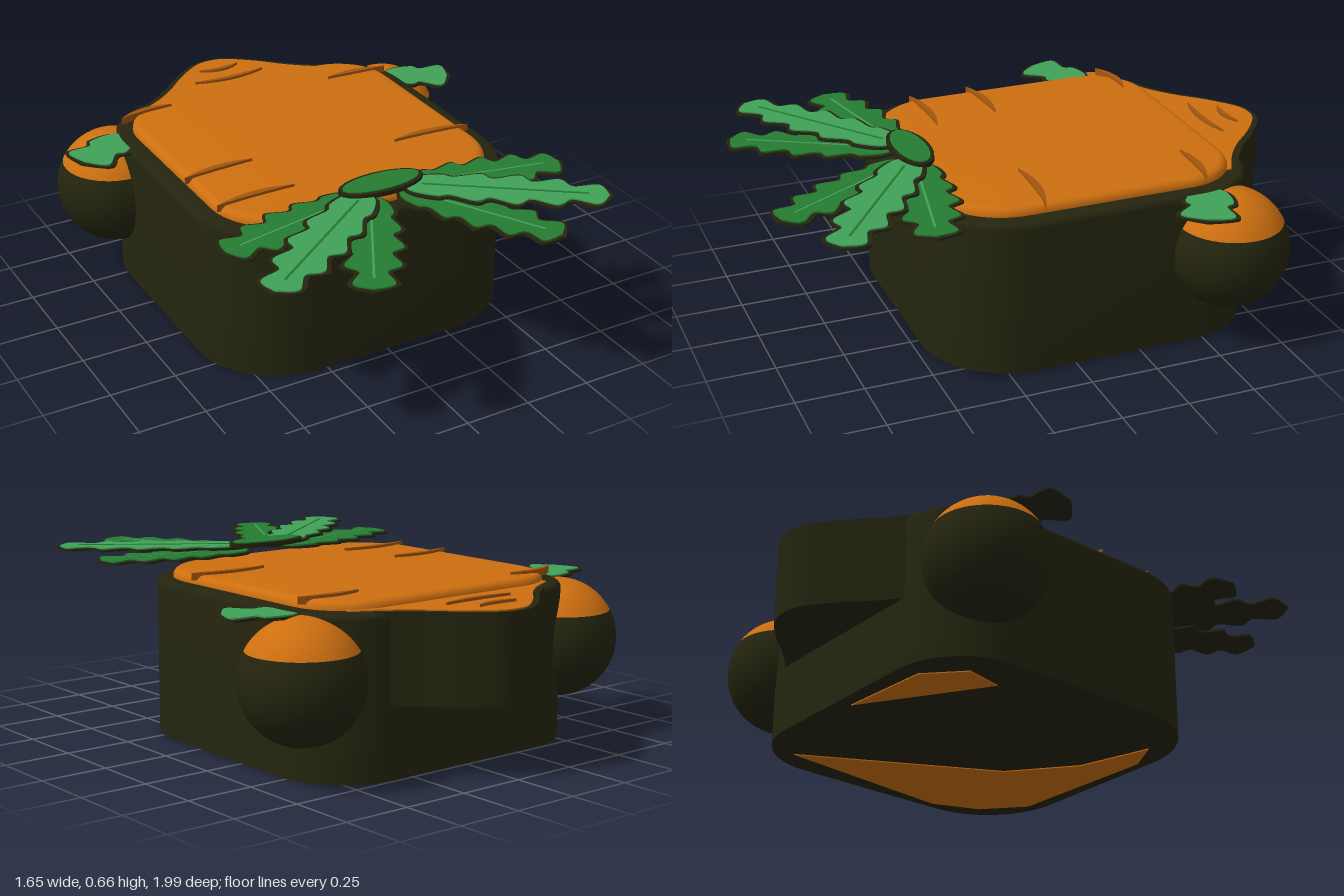
import * as THREE from 'three';
import { toCreasedNormals } from 'three/addons/utils/BufferGeometryUtils.js';

const mat = (name, color, side = THREE.FrontSide) => {
  const m = new THREE.MeshStandardMaterial({ color, side });
  m.name = name;
  return m;
};

const v2 = (p) => new THREE.Vector2(p[0], p[1]);

// Plan outline in (x, z) extruded between two heights, with an optional rounded edge
function slab(shape, y0, y1, bevel = 0) {
  const geo = new THREE.ExtrudeGeometry(shape, {
    depth: y1 - y0 - 2 * bevel, curveSegments: 12, bevelEnabled: bevel > 0,
    bevelThickness: bevel, bevelSize: bevel, bevelOffset: -bevel, bevelSegments: 4,
  });
  geo.rotateX(Math.PI / 2).translate(0, y1 - bevel, 0);
  return geo;
}

function roundedPlan(w, z0, z1, rBack, rFront) {
  const s = new THREE.Shape();
  const k = 0.45; // control handle share of the corner radius
  s.moveTo(-w + rBack, z0).lineTo(w - rBack, z0);
  s.bezierCurveTo(w - rBack * k, z0, w, z0 + rBack * k, w, z0 + rBack);
  s.lineTo(w, z1 - rFront);
  s.bezierCurveTo(w, z1 - rFront * k, w - rFront * k, z1, w - rFront, z1);
  s.lineTo(-w + rFront, z1);
  s.bezierCurveTo(-w + rFront * k, z1, -w, z1 - rFront * k, -w, z1 - rFront);
  s.lineTo(-w, z0 + rBack);
  s.bezierCurveTo(-w, z0 + rBack * k, -w + rBack * k, z0, -w + rBack, z0);
  return s;
}

// Pointed plan at the back, from a half outline that ends on the centre line
function nosePlan(half) {
  const mirrored = half.slice(0, -1).reverse().map(([x, z]) => [-x, z]);
  const pts = [...half, ...mirrored].map(v2);
  const s = new THREE.Shape();
  s.moveTo(half[0][0], half[0][1]).splineThru(pts.slice(1));
  s.lineTo(-half[0][0], -0.5).lineTo(half[0][0], -0.5);
  return s;
}

// Wavy toothed leaf from a to b; grow widens it for the dark outline
function leafPlan(a, b, width, teeth, grow) {
  const A = v2(a), B = v2(b);
  const dir = B.clone().sub(A).normalize();
  const nor = new THREE.Vector2(-dir.y, dir.x);
  const len = A.distanceTo(B);
  const at = (t, w) => A.clone().addScaledVector(dir, t * len).addScaledVector(nor, w);
  const side = (sgn) => {
    const pts = [];
    for (let i = 0; i < teeth; i++) {
      const t = (i + 0.3) / (teeth + 0.2);
      const env = width * (0.45 + 0.75 * Math.sin(Math.PI * Math.min(1, t * 0.85 + 0.15)));
      pts.push(at(t, sgn * (env * 0.62 + grow)));
      pts.push(at(t + 0.62 / teeth, sgn * (env * 0.92 + grow)));
    }
    return pts;
  };
  const start = at(-grow / len, 0), tip = at(1 + grow / len, 0);
  const s = new THREE.Shape();
  s.moveTo(start.x, start.y);
  s.splineThru([...side(1), tip]);
  s.splineThru([...side(-1).reverse(), start]);
  return s;
}

// Curved groove mark, bowed along z
function crescent([x0, z0], [x1, z1], bow, thick) {
  const mx = (x0 + x1) / 2, mz = (z0 + z1) / 2;
  const s = new THREE.Shape();
  s.moveTo(x0, z0).quadraticCurveTo(mx, mz + bow - thick, x1, z1);
  s.quadraticCurveTo(mx, mz + bow + thick, x0, z0);
  return s;
}

export function createModel() {
  const root = new THREE.Group();
  root.name = 'model';
  const dark = mat('dark outline', 0x24240f);
  const orange = mat('orange', 0xcd6f10);
  const brown = mat('groove brown', 0xa3560f);
  const green = mat('deep green', 0x247c32);
  const light = mat('light green', 0x3fa257);

  const add = (name, geo, material, parent = root) => {
    const mesh = new THREE.Mesh(toCreasedNormals(geo, 0.6), material);
    mesh.name = name;
    parent.add(mesh);
    return mesh;
  };

  // Body: its lower edge is clamped square
  const body = slab(roundedPlan(0.61, -0.75, 0.47, 0.27, 0.32), -0.018, 0.58, 0.022);
  const pos = body.attributes.position;
  for (let i = 0; i < pos.count; i++) pos.setY(i, Math.max(0.004, pos.getY(i)));
  add('body', body, dark);
  add('topPanel', slab(roundedPlan(0.545, -0.69, 0.42, 0.22, 0.26), 0.54, 0.612, 0.03), orange);

  // Pointed back
  add('nose', slab(nosePlan([[0.48, -0.69], [0.38, -0.735], [0.28, -0.81], [0.18, -0.905],
    [0.08, -0.98], [0, -0.998]]), 0.26, 0.58), dark);
  add('noseTop', slab(nosePlan([[0.46, -0.665], [0.35, -0.725], [0.26, -0.795], [0.17, -0.885],
    [0.07, -0.962], [0, -0.98]]), 0.575, 0.585), orange);

  // Patches on the underside
  const patches = [
    [[0.5, -0.6], [0.13, 0.1], [-0.1, 0.28], [-0.38, 0.36], [-0.25, 0.43], [0.35, 0.41], [0.5, 0.28], [0.57, 0.1]],
    [[0.0, -0.7], [-0.35, -0.68], [-0.48, -0.56], [-0.45, -0.42]],
  ];
  patches.forEach((p) => add('undersidePatch', slab(new THREE.Shape(p.map(v2)), 0, 0.006), orange));

  // Groove marks
  const marks = [
    [[-0.56, -0.58], [-0.34, -0.605], -0.04], [[0.31, -0.53], [0.56, -0.515], -0.025],
    [[-0.56, -0.02], [-0.28, -0.04], -0.03], [[0.25, 0.08], [0.56, 0.1], -0.035],
    [[-0.55, 0.22], [-0.24, 0.21], -0.035],
  ];
  marks.forEach(([a, b, bow]) => add('groove', slab(crescent(a, b, bow, 0.025), 0.595, 0.622), brown));
  [[0.15, -0.795], [0.085, -0.89]].forEach(([x, z]) =>
    add('noseGroove', slab(crescent([-x, z], [x, z], 0.035, 0.02), 0.58, 0.595), brown));

  // Leaf with dark backing and a midrib
  function leaf(name, a, b, width, teeth, y, colour, ribColour) {
    const g = new THREE.Group();
    g.name = name;
    add('leafOutline', slab(leafPlan(a, b, width, teeth, 0.016), y, y + 0.008), dark, g);
    add('leafBlade', slab(leafPlan(a, b, width, teeth, 0), y + 0.006, y + 0.013), colour, g);
    if (ribColour) {
      const dx = b[0] - a[0], dz = b[1] - a[1];
      const rib = new THREE.BoxGeometry(Math.hypot(dx, dz) * 0.8, 0.004, 0.008);
      rib.rotateY(-Math.atan2(dz, dx)).translate((a[0] + b[0]) / 2, y + 0.013, (a[1] + b[1]) / 2);
      add('leafRib', rib, ribColour, g);
    }
    root.add(g);
  }

  for (const s of [1, -1]) {
    // Front leaves
    leaf('sideLeaf', [s * 0.08, 0.41], [s * 0.67, 0.53], 0.1, 5, 0.616, green, light);
    leaf('frontLeaf', [s * 0.06, 0.43], [s * 0.365, 0.975], 0.095, 5, 0.618, green, light);
    leaf('middleLeaf', [s * 0.07, 0.42], [s * 0.655, 0.85], 0.095, 5, 0.632, light, green);

    // Round feet: dark below, orange cap above
    const cut = 1.07;
    const foot = new THREE.Group();
    foot.name = s > 0 ? 'leftBall' : 'rightBall';
    foot.position.set(s * 0.6, 0.353, -0.59);
    add('ballCap', new THREE.SphereGeometry(0.22, 40, 12, 0, Math.PI * 2, 0, cut), orange, foot);
    add('ballBase', new THREE.SphereGeometry(0.22, 40, 20, 0, Math.PI * 2, cut, Math.PI - cut), dark, foot);
    root.add(foot);
    leaf('ballLeaf', [s * 0.56, -0.53], [s * 0.79, -0.40], 0.09, 2, 0.564, light, null);
  }

  // Oval leaf base
  const oval = (rx, rz) => new THREE.Shape().absellipse(0, 0.4, rx, rz, 0, Math.PI * 2);
  add('stemOutline', slab(oval(0.167, 0.073), 0.64, 0.657), dark);
  add('stemTop', slab(oval(0.152, 0.058), 0.655, 0.661), green);

  return root;
}
